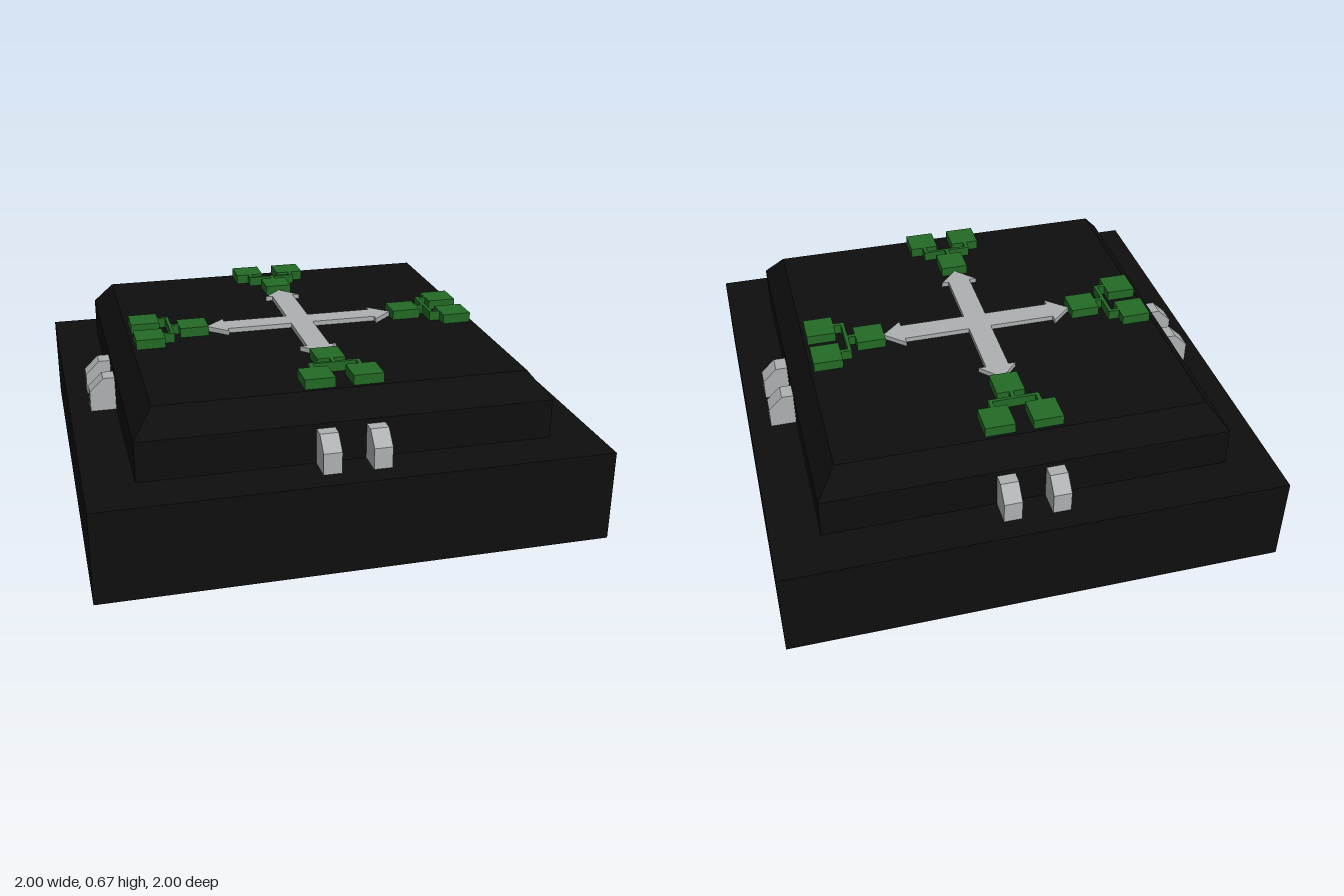
import * as THREE from 'three';

const black = new THREE.MeshStandardMaterial({ color: 0x0e0e0e });
black.name = 'black';
const green = new THREE.MeshStandardMaterial({ color: 0x236a25 });
green.name = 'green';
const grey = new THREE.MeshStandardMaterial({ color: 0xadb1b2 });
grey.name = 'grey';

const DECK = 0.63; // height of the raised top

function add(parent, name, geometry, material, x = 0, y = 0, z = 0) {
  const mesh = new THREE.Mesh(geometry, material);
  mesh.name = name;
  mesh.position.set(x, y, z);
  parent.add(mesh);
  return mesh;
}

// Box given by its x and z ranges, standing on y0
function slab(parent, name, material, x0, x1, z0, z1, y0, y1) {
  const geometry = new THREE.BoxGeometry(x1 - x0, y1 - y0, z1 - z0);
  return add(parent, name, geometry, material, (x0 + x1) / 2, (y0 + y1) / 2, (z0 + z1) / 2);
}

// Square frustum with crisp faces
function frustum(topHalf, bottomHalf, height) {
  const g = new THREE.CylinderGeometry(topHalf * Math.SQRT2, bottomHalf * Math.SQRT2, height, 4)
    .rotateY(Math.PI / 4).toNonIndexed();
  g.computeVertexNormals();
  return g;
}

// Wedge-topped block, profile drawn outward (x) and up (y), turned to face +z
function lugGeometry() {
  const profile = new THREE.Shape([
    [0.81, 0.37], [0.914, 0.37], [0.914, 0.455], [0.857, 0.51], [0.81, 0.51],
  ].map(([x, y]) => new THREE.Vector2(x, y)));
  return new THREE.ExtrudeGeometry(profile, { depth: 0.072, bevelEnabled: false })
    .translate(0, 0, -0.036).rotateY(-Math.PI / 2);
}

// Four-way arrow outline, one arm repeated by quarter turns
function crossArrowGeometry() {
  const w = 0.047;
  const arm = [[w, w], [0.32, w], [0.32, 0.077], [0.404, 0], [0.32, -0.077], [0.32, -w]].reverse();
  const points = [];
  for (let i = 0; i < 4; i++) {
    for (const [x, y] of arm) {
      points.push(new THREE.Vector2(x, y).rotateAround(new THREE.Vector2(), i * Math.PI / 2));
    }
  }
  return new THREE.ExtrudeGeometry(new THREE.Shape(points), { depth: 0.02, bevelEnabled: false })
    .rotateX(-Math.PI / 2);
}

// One side: two grey lugs plus three linked green pads on the deck
function createSide() {
  const side = new THREE.Group();
  side.name = 'side';
  const lug = lugGeometry();
  const top = 0.67;
  const t = 0.008;
  for (const s of [-1, 1]) {
    add(side, 'lug', lug, grey, s * 0.097);
    const c = s * 0.095;
    slab(side, 'outerPad', green, c - 0.06, c + 0.06, 0.597, 0.716, DECK, top);
    slab(side, 'outerLink', green, c - t, c + t, 0.56, 0.597, DECK, top);
  }
  slab(side, 'innerPad', green, -0.057, 0.057, 0.403, 0.522, DECK, top);
  slab(side, 'innerLink', green, -t, t, 0.522, 0.552, DECK, top);
  slab(side, 'crossLink', green, -0.095 - t, 0.095 + t, 0.552, 0.566, DECK, top);
  return side;
}

export function createModel() {
  const model = new THREE.Group();
  model.name = 'controlBlock';

  // Stepped body
  slab(model, 'base', black, -1, 1, -1, 1, 0, 0.37);
  slab(model, 'upperBody', black, -0.81, 0.81, -0.81, 0.81, 0.37, 0.53);
  add(model, 'chamferedTop', frustum(0.73, 0.81, 0.1), black, 0, 0.58, 0);

  // Raised direction cross
  add(model, 'crossArrow', crossArrowGeometry(), grey, 0, DECK, 0);

  // Same fittings on all four sides
  for (let i = 0; i < 4; i++) {
    const side = createSide();
    side.rotation.y = i * Math.PI / 2;
    model.add(side);
  }
  return model;
}
